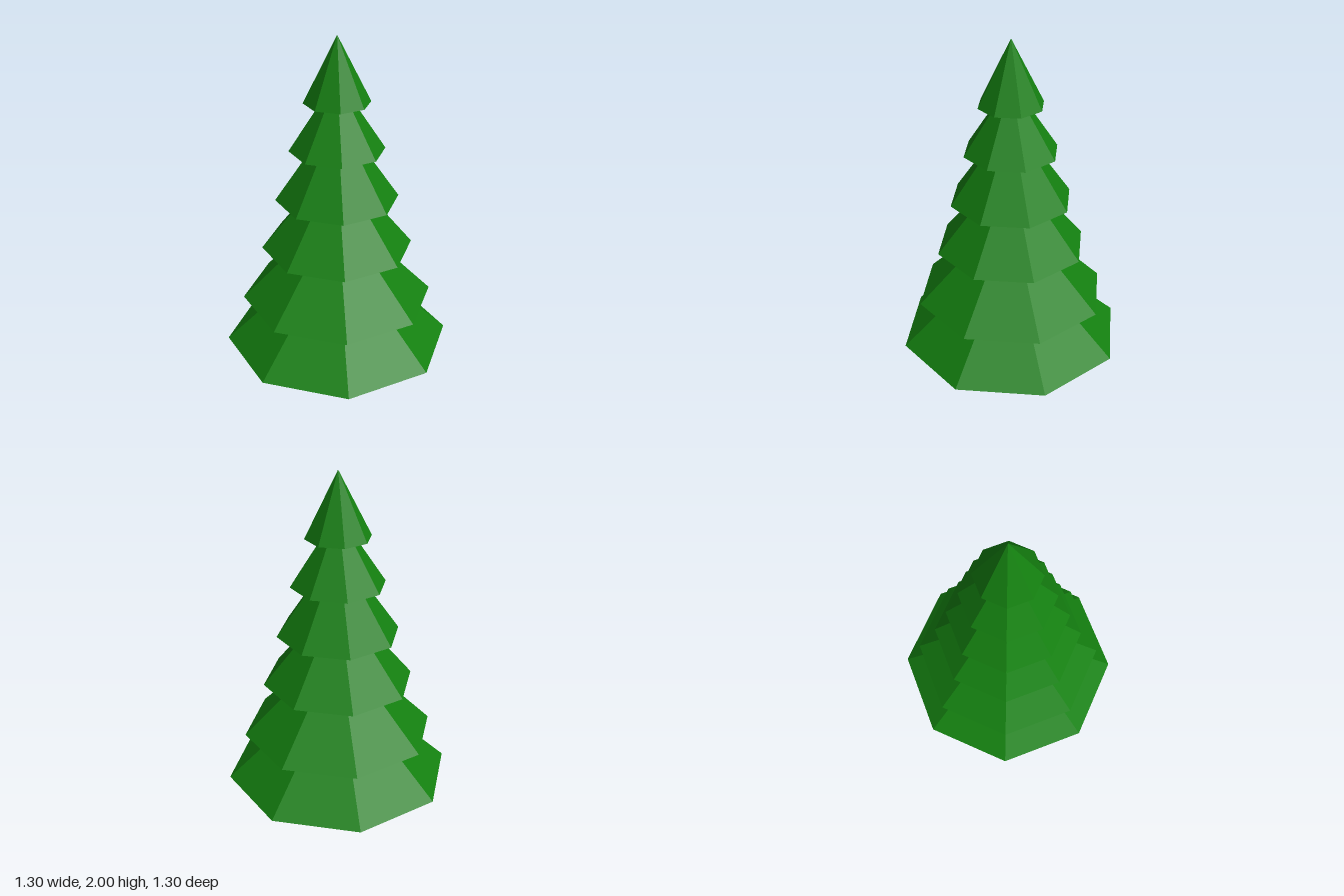
import * as THREE from 'three';

const SIDES = 8;

export function createModel() {
  const tree = new THREE.Group();
  tree.name = 'pineTree';

  const needles = new THREE.MeshStandardMaterial({ color: 0x148010, flatShading: true });
  const bark = new THREE.MeshStandardMaterial({ color: 0x553a18, flatShading: true });

  // Trunk: short octagonal stump
  const trunkHeight = 0.165;
  const trunk = new THREE.Mesh(new THREE.CylinderGeometry(0.138, 0.138, trunkHeight, SIDES), bark);
  trunk.name = 'trunk';
  trunk.position.y = trunkHeight / 2;
  tree.add(trunk);

  // Foliage: overlapping closed cones, [base radius, base y, apex y]
  const tiers = [
    [0.648, 0.18, 0.78],
    [0.545, 0.46, 1.01],
    [0.427, 0.78, 1.3],
    [0.345, 1.075, 1.575],
    [0.265, 1.365, 1.77],
    [0.183, 1.635, 2.0],
  ];
  tiers.forEach(([radius, base, apex], i) => {
    const tier = new THREE.Mesh(new THREE.ConeGeometry(radius, apex - base, SIDES), needles);
    tier.name = `foliageTier${i + 1}`;
    tier.position.y = (base + apex) / 2;
    tree.add(tier);
  });

  return tree;
}
